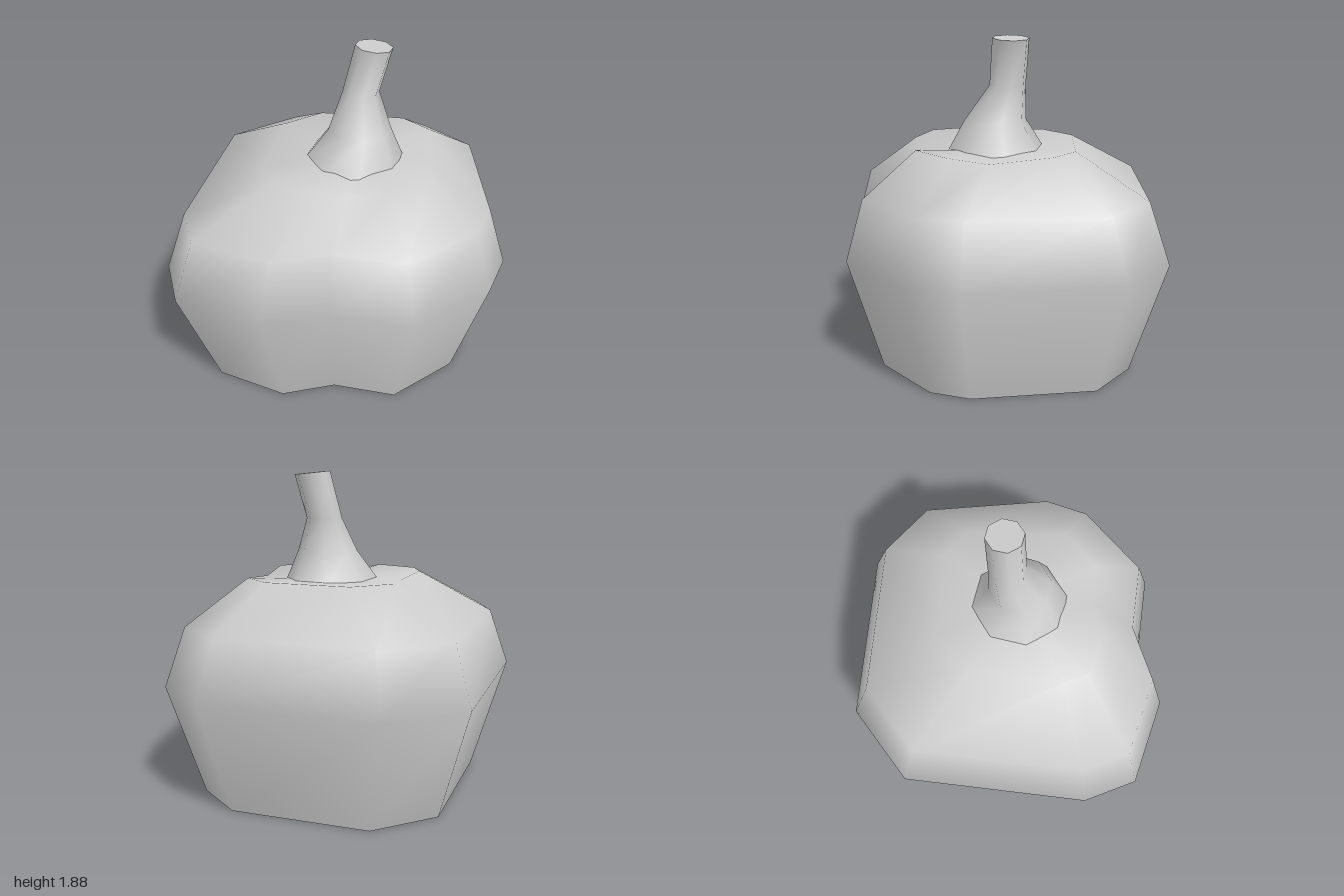
import * as THREE from 'three';

const material = new THREE.MeshStandardMaterial({ color: 0xcccccc });

// Smooth skin through closed rings (bottom to top); ends are fans with their own
// sharp edge, or share the last ring when a smooth crown point is given.
function loft(name, rings, crown) {
  const group = new THREE.Group();
  group.name = name;
  const n = rings[0].length;
  const add = (part, points, index) => {
    const g = new THREE.BufferGeometry();
    g.setAttribute('position', new THREE.Float32BufferAttribute(points.flat(), 3));
    g.setIndex(index);
    g.computeVertexNormals();
    const mesh = new THREE.Mesh(g, material);
    mesh.name = part;
    group.add(mesh);
  };
  const centre = (ring) => [0, 1, 2].map((k) => ring.reduce((s, p) => s + p[k], 0) / n);
  const fan = (middle, start, up) => {
    const index = [];
    for (let i = 0; i < n; i++) {
      const a = start + i, b = start + (i + 1) % n;
      index.push(middle, ...(up ? [b, a] : [a, b]));
    }
    return index;
  };

  const points = rings.flat(), index = [];
  for (let r = 0; r < rings.length - 1; r++) {
    for (let i = 0; i < n; i++) {
      const a = r * n + i, b = r * n + (i + 1) % n;
      index.push(a, a + n, b, b, a + n, b + n);
    }
  }
  const last = rings[rings.length - 1];
  if (crown) {
    index.push(...fan(points.length, points.length - n, true));
    points.push(crown);
  } else {
    add(name + 'Tip', [...last, centre(last)], fan(n, 0, true));
  }
  add(name + 'Skin', points, index);
  add(name + 'Base', [...rings[0], centre(rings[0])], fan(n, 0, false));
  return group;
}

// Lopsided lobed outline at the widest height, as [x, z]
const outline = [
  [-0.26, -0.98], [0.73, -0.76], [1, -0.44], [0.95, 0.42], [0.81, 0.68], [0.34, 0.97],
  [-0.09, 0.84], [-0.47, 0.9], [-0.93, 0.65], [-1, 0.33], [-0.72, -0.72],
];
// Height, scale and offset of each body ring
const bodyLevels = [
  [0, 0.8, 0.01, 0.01],
  [0.67, 1, 0, 0],
  [1.01, 0.885, 0.005, 0.01],
  [1.26, 0.5, 0.07, 0.08],
];
// Height, radius, centre x, centre z and sideways tilt of each stem ring
const stemLevels = [
  [1.22, 0.285, 0.095, 0.085, 0],
  [1.4, 0.18, 0.125, 0.095, 0],
  [1.6, 0.105, 0.135, 0.025, 0],
  [1.865, 0.105, 0.205, 0.02, 0.1],
];

export function createModel() {
  const model = new THREE.Group();
  model.name = 'pumpkin';

  // Body, with the rim dipping at the front groove and the right shoulder
  const body = bodyLevels.map(([y, s, dx, dz]) => outline.map(([x, z]) => [x * s + dx, y, z * s + dz]));
  body[3][6][1] = 1.22;
  body[3][3] = [0.52, 1.225, 0.2];
  model.add(loft('body', body, [0.1, 1.22, 0.09]));

  // Bent eight-sided stem with a flat cut end
  const stem = stemLevels.map(([y, r, cx, cz, tilt]) =>
    Array.from({ length: 8 }, (_, i) => {
      const a = (i * Math.PI) / 4, x = Math.cos(a) * r;
      return [cx + x, y - x * tilt, cz + Math.sin(a) * r];
    }));
  model.add(loft('stem', stem));
  return model;
}
